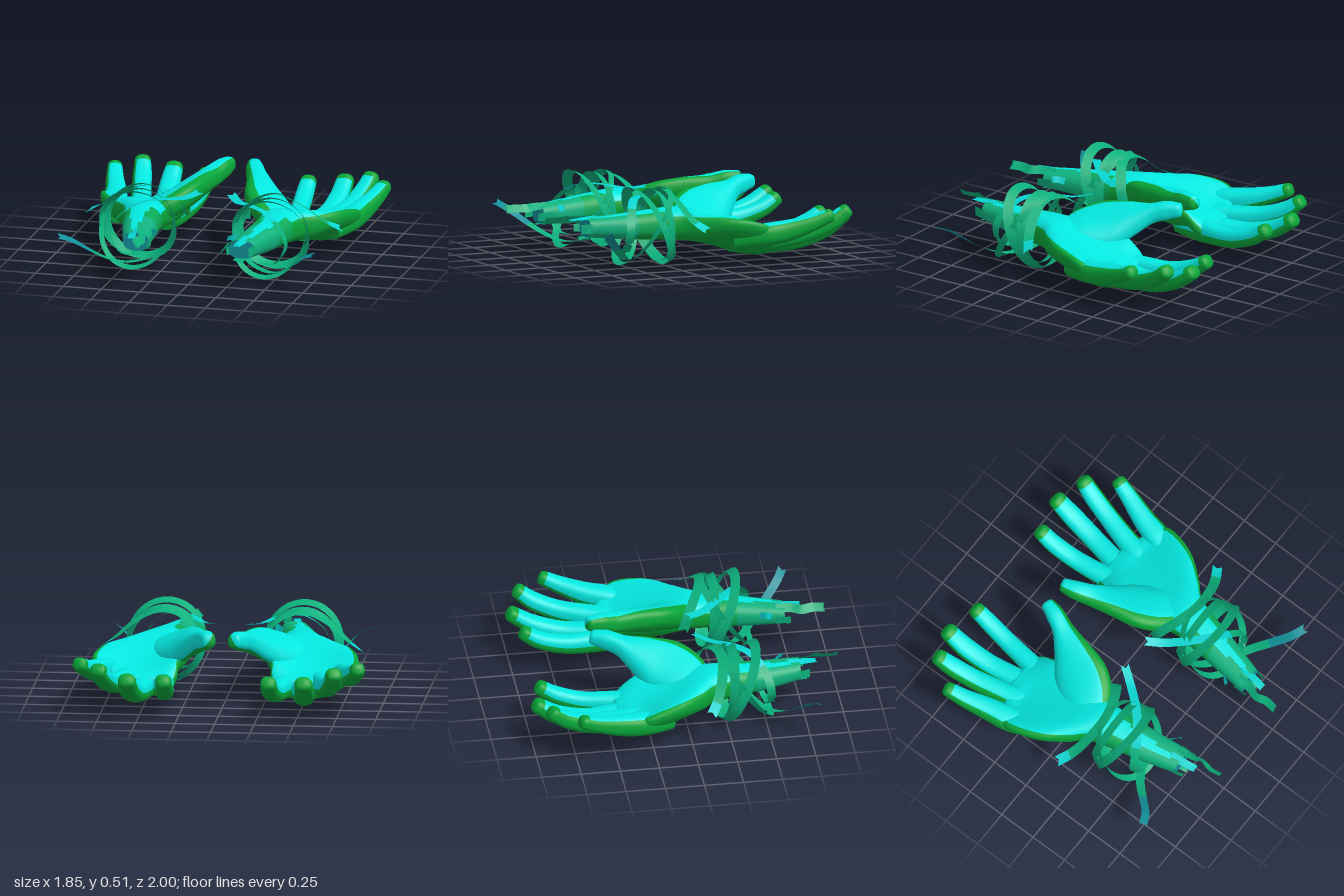
import * as THREE from 'three';

const mat = (name, color) => {
  const m = new THREE.MeshStandardMaterial({ color });
  m.name = name;
  return m;
};
const V = (x, y, z) => new THREE.Vector3(x, y, z);
const smoothPath = (pts, closed = false) => new THREE.CatmullRomCurve3(pts, closed, 'catmullrom', 0.5);

// Geometry from points and one triangle list per material
function fromLists(pos, lists) {
  const g = new THREE.BufferGeometry();
  g.setAttribute('position', new THREE.Float32BufferAttribute(pos.flatMap((p) => [p.x, p.y, p.z]), 3));
  g.setIndex(lists.flat());
  let start = 0;
  lists.forEach((l, i) => { g.addGroup(start, l.length, i); start += l.length; });
  g.computeVertexNormals();
  return g;
}

// Rounded body lofted along sections [x, y, z, halfWidth, halfThickness, bend].
// Planar sections stay square to z and bend into a cup; others lean sideways.
function loft(sections, pick, count, planar = false, steps = 36) {
  const S = 36, pos = [], rings = [];
  const path = smoothPath(sections.map((s) => V(s[0], s[1], s[2])));
  const size = smoothPath(sections.map((s) => V(s[3], s[4], s[5] || 0)));
  const lists = Array.from({ length: count }, () => []);
  const ring = (t, scale, push) => {
    const c = path.getPoint(t), s = size.getPoint(t);
    const T = planar ? V(0, 0, -1) : path.getTangent(t);
    const R = T.clone().cross(V(0, 1, 0)).normalize(), U = R.clone().cross(T);
    c.addScaledVector(T, push);
    rings.push({ t, z: c.z });
    for (let j = 0; j < S; j++) {
      const a = (j / S) * Math.PI * 2, ca = Math.cos(a), sa = Math.sin(a);
      const px = Math.sign(ca) * Math.abs(ca) ** 0.8, py = Math.sign(sa) * Math.abs(sa) ** 0.8;
      pos.push(c.clone().addScaledVector(R, px * s.x * scale)
        .addScaledVector(U, (py * s.y + (planar ? px * px : px) * s.z) * scale));
    }
  };
  // flat start cap, body, blunt end cap
  ring(0, 0.001, 0);
  ring(0, 1, 0);
  for (let i = 0; i <= steps; i++) ring(i / steps, 1, 0);
  [[0.95, 0.014], [0.8, 0.026], [0.5, 0.032], [0.001, 0.034]].forEach(([k, p]) => ring(1, k, p));
  for (let i = 0; i < rings.length - 1; i++) {
    for (let j = 0; j < S; j++) {
      const k = (j + 1) % S, a = i * S + j, b = i * S + k, c = a + S, d = b + S;
      lists[pick(((j + 0.5) / S) * 360, rings[i + 1].t, rings[i].z, i)].push(a, c, b, b, c, d);
    }
  }
  return fromLists(pos, lists);
}

// Two-faced ribbon facing away from a lengthwise axis at [x, y];
// flare tips its width outward, loose ends are notched
function ribbon(pts, width, axis, { closed = false, flare = 0, pick = () => 0 } = {}) {
  const N = closed ? 64 : 40, pos = [], lists = [[], []];
  const curve = smoothPath(pts.map((p) => V(...p)), closed);
  for (const face of [1, -1]) {
    const base = pos.length;
    for (let i = 0; i <= N; i++) {
      const t = i / N, c = curve.getPoint(t), T = curve.getTangent(t);
      const out = V(c.x - axis[0], c.y - axis[1], 0).normalize();
      const W = out.clone().cross(T).normalize();
      W.addScaledVector(out, flare * Math.sign(W.z)).normalize();
      const n = T.clone().cross(W).normalize();
      const notch = closed ? 0 : i === 0 ? 0.025 : i === N ? -0.025 : 0;
      for (const k of [-1, 0, 1]) {
        pos.push(c.clone().addScaledVector(W, (k * width) / 2)
          .addScaledVector(T, k === 0 ? notch : 0).addScaledVector(n, face * 0.002));
      }
      if (i === N) break;
      for (const k of [0, 1]) {
        const a = base + i * 3 + k, list = lists[pick(t)];
        if (face > 0) list.push(a, a + 3, a + 1, a + 1, a + 3, a + 4);
        else list.push(a, a + 1, a + 3, a + 1, a + 4, a + 3);
      }
    }
  }
  return fromLists(pos, lists);
}

function mirrored(g) {
  const m = g.clone().scale(-1, 1, 1), ix = m.index;
  for (let i = 0; i < ix.count; i += 3) {
    const b = ix.getX(i + 1);
    ix.setX(i + 1, ix.getX(i + 2));
    ix.setX(i + 2, b);
  }
  m.computeVertexNormals();
  return m;
}

export function createModel() {
  const cyan = mat('palmCyan', 0x04e8e0), green = mat('backGreen', 0x08a63a);
  const wrist = mat('wristGreen', 0x0aab58), teal = mat('forearmTeal', 0x0fb27e);
  const inner = mat('innerTeal', 0x12909a);
  const band = mat('ribbonTeal', 0x0bb07c), bandEnd = mat('ribbonCyan', 0x08d4d0);
  const model = new THREE.Group();
  const left = new THREE.Group(), right = new THREE.Group();
  left.name = 'leftHand';
  right.name = 'rightHand';
  model.add(left, right);
  const add = (name, geo, mats) => {
    for (const [group, g] of [[left, geo], [right, mirrored(geo)]]) {
      const mesh = new THREE.Mesh(g, mats);
      mesh.name = name;
      group.add(mesh);
    }
  };

  // Forearm, wrist and cupped palm: [z, xMin, xMax, yMin, yMax, cup]
  const body = [
    [0.74, 0.26, 0.43, 0.19, 0.31, 0], [0.5, 0.285, 0.5, 0.17, 0.33, 0],
    [0.2, 0.31, 0.58, 0.155, 0.36, 0], [0.08, 0.28, 0.68, 0.145, 0.35, 0.01],
    [-0.05, 0.23, 0.78, 0.115, 0.305, 0.065], [-0.2, 0.25, 0.835, 0.07, 0.25, 0.105],
    [-0.31, 0.29, 0.84, 0.045, 0.212, 0.105], [-0.38, 0.295, 0.77, 0.04, 0.2, 0.06],
    [-0.43, 0.31, 0.67, 0.05, 0.185, 0.02],
  ].map(([z, a, b, c, d, cup]) => [(a + b) / 2, (c + d) / 2, z, (b - a) / 2, (d - c) / 2, cup]);
  add('palmAndForearm', loft(body, (a, t, z, i) => {
    if (i === 0) return 4;
    if (z > 0.28) {
      // palm colour tapers to a strip along the forearm
      if (Math.abs(a - 82) < 48 * (0.85 - z)) return 0;
      if (z > 0.46) return 3;
      return a > 205 && a < 335 ? 1 : 2;
    }
    return a > 33 && a < 165 ? 0 : 1;
  }, 5, true, 60), [cyan, green, wrist, teal, inner]);

  // Fingers and thumb; the palm colour covers the given arc of each
  const digits = {
    indexFinger: [[-2, 182], [[0.41, 0.12, -0.2, 0.055, 0.055], [0.395, 0.125, -0.34, 0.068, 0.073],
      [0.373, 0.125, -0.47, 0.063, 0.07], [0.35, 0.135, -0.65, 0.058, 0.06],
      [0.335, 0.185, -0.81, 0.056, 0.054], [0.333, 0.245, -0.91, 0.051, 0.047]]],
    middleFinger: [[18, 180], [[0.49, 0.115, -0.2, 0.055, 0.055], [0.495, 0.11, -0.34, 0.07, 0.075],
      [0.505, 0.108, -0.47, 0.066, 0.07], [0.535, 0.118, -0.65, 0.064, 0.062],
      [0.555, 0.175, -0.83, 0.064, 0.056], [0.56, 0.256, -0.96, 0.056, 0.048]]],
    ringFinger: [[45, 185], [[0.59, 0.125, -0.2, 0.055, 0.055], [0.615, 0.14, -0.34, 0.074, 0.073],
      [0.645, 0.15, -0.47, 0.068, 0.07], [0.69, 0.18, -0.65, 0.062, 0.061],
      [0.725, 0.24, -0.8, 0.06, 0.054], [0.747, 0.305, -0.89, 0.052, 0.046]]],
    littleFinger: [[52, 190], [[0.7, 0.16, -0.13, 0.055, 0.055], [0.765, 0.192, -0.3, 0.078, 0.07],
      [0.803, 0.215, -0.45, 0.07, 0.068], [0.85, 0.26, -0.6, 0.057, 0.053], [0.88, 0.305, -0.71, 0.047, 0.044]]],
    thumb: [[-50, 122], [[0.47, 0.25, 0.12, 0.09, 0.06, 0], [0.375, 0.272, 0.01, 0.155, 0.09, -0.045],
      [0.287, 0.31, -0.12, 0.16, 0.09, -0.07], [0.21, 0.36, -0.25, 0.11, 0.08, -0.04],
      [0.145, 0.4, -0.37, 0.068, 0.063, 0], [0.105, 0.425, -0.46, 0.058, 0.06, 0], [0.085, 0.435, -0.525, 0.046, 0.048, 0]]],
  };
  for (const [name, [[lo, hi], sections]] of Object.entries(digits)) {
    const thumb = name === 'thumb';
    add(name, loft(sections, (a, t) => {
      const arc = a > 270 ? a - 360 : a;
      return arc > lo && arc < hi && (thumb || t < 0.995) ? 0 : 1;
    }, 2), [cyan, green]);
  }

  // Closed wrist loops: centre z, lean, radius, width
  [[0.335, 0.11, 0.24, 0.065], [0.28, 0.02, 0.222, 0.06], [0.38, -0.16, 0.232, 0.045]].forEach(([z, lean, r, w], i) => {
    const pts = [];
    for (let k = 0; k < 16; k++) {
      const a = (k / 16) * Math.PI * 2;
      pts.push([0.435 + r * Math.cos(a), 0.252 + r * Math.sin(a), z + lean * Math.sin(a)]);
    }
    add('wristLoop' + (i + 1), ribbon(pts, w, [0.435, 0.25], { closed: true, flare: 0.45 }), [band, bandEnd]);
  });

  // Loose ribbons with trailing ends
  const ends = (a, b) => (t) => (t < a || t > b ? 1 : 0);
  add('upperRibbon', ribbon([[0.2, 0.25, 0.08], [0.225, 0.36, 0.12], [0.34, 0.455, 0.19], [0.48, 0.465, 0.225],
    [0.62, 0.4, 0.21], [0.73, 0.31, 0.17], [0.83, 0.25, 0.11]], 0.065, [0.435, 0.1],
  { flare: 0.3, pick: ends(0, 0.85) }), [band, bandEnd]);
  add('trailingRibbon', ribbon([[0.84, 0.27, 0.81], [0.75, 0.23, 0.76], [0.66, 0.15, 0.67], [0.57, 0.08, 0.58],
    [0.45, 0.045, 0.5], [0.3, 0.08, 0.4], [0.22, 0.2, 0.33], [0.22, 0.32, 0.28]], 0.055, [0.45, 0.55],
  { pick: ends(0.28, 1) }), [band, inner]);
  add('crossingRibbon', ribbon([[0.1, 0.42, 0.09], [0.18, 0.4, 0.2], [0.29, 0.42, 0.33], [0.42, 0.41, 0.44],
    [0.54, 0.32, 0.51], [0.575, 0.22, 0.53], [0.5, 0.11, 0.53], [0.38, 0.1, 0.51]], 0.055, [0.3, -0.2],
  { pick: ends(0.5, 1) }), [band, bandEnd]);

  // Torn strips at the forearm end: points, width, teal or cyan
  [
    [[[0.305, 0.305, 0.68], [0.3, 0.303, 0.78], [0.275, 0.3, 0.85], [0.29, 0.3, 0.92], [0.28, 0.3, 1.0]], 0.06, 0],
    [[[0.37, 0.314, 0.66], [0.36, 0.308, 0.76], [0.345, 0.3, 0.85]], 0.05, 1],
    [[[0.43, 0.25, 0.7], [0.425, 0.25, 0.75], [0.41, 0.25, 0.8]], 0.06, 0],
    [[[0.262, 0.24, 0.68], [0.262, 0.24, 0.74], [0.26, 0.24, 0.78]], 0.05, 0],
    [[[0.34, 0.187, 0.7], [0.34, 0.185, 0.74], [0.33, 0.18, 0.78]], 0.07, 0],
    [[[0.29, 0.27, 0.58], [0.25, 0.29, 0.62], [0.23, 0.29, 0.65]], 0.04, 1],
  ].forEach(([pts, w, c], i) => add('tornStrip' + (i + 1), ribbon(pts, w, [0.345, 0.25], { pick: () => c }), [band, bandEnd]));

  return model;
}
